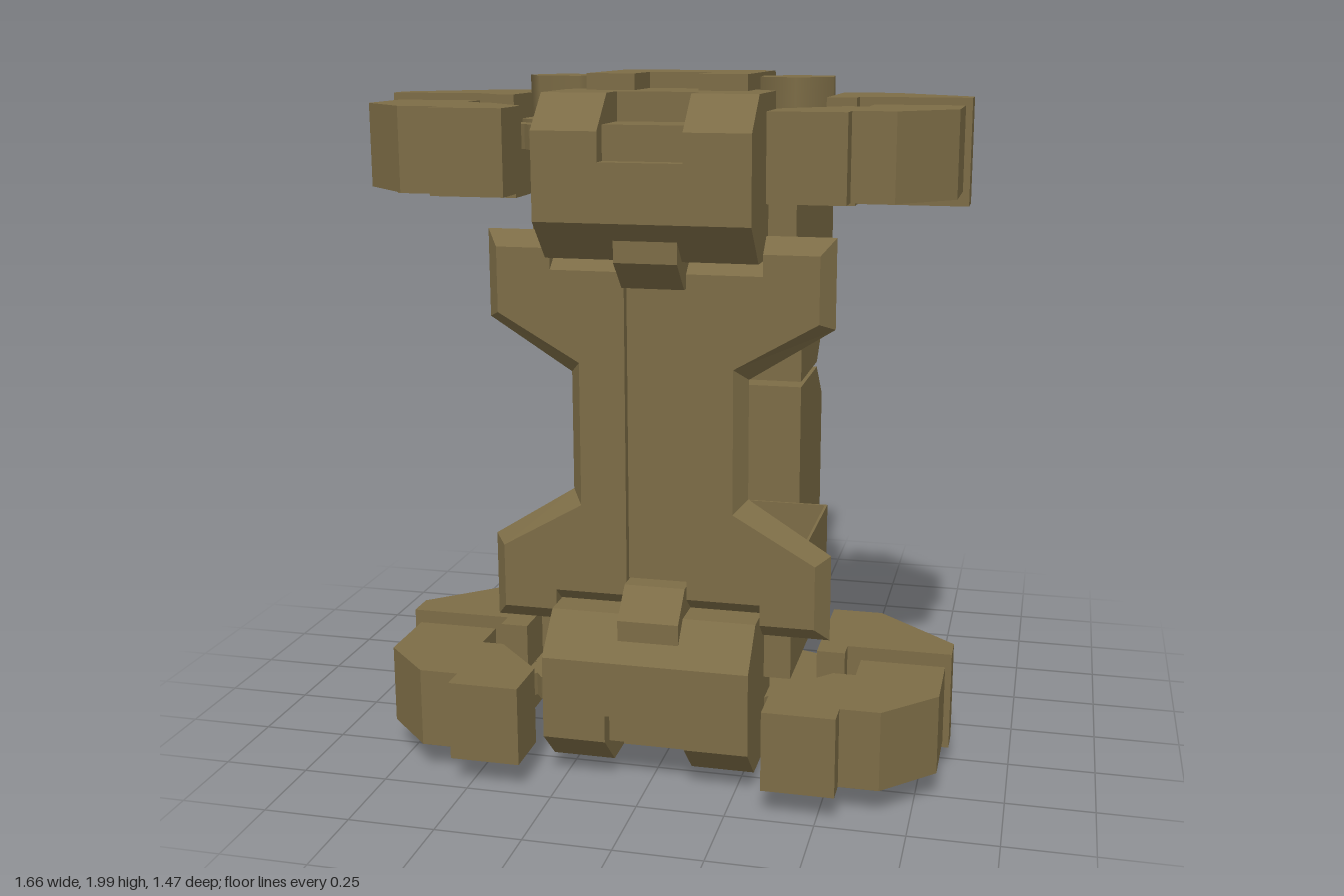
import * as THREE from 'three';

const olive = new THREE.MeshStandardMaterial({ color: 0x7c6c46, side: THREE.DoubleSide });
olive.name = 'olive drab';

const mesh = (name, geo, parent) => {
  const m = new THREE.Mesh(geo, olive);
  m.name = name;
  parent.add(m);
  return m;
};
const shapeOf = pts => new THREE.Shape(pts.map(p => new THREE.Vector2(p[0], p[1])));

// Block between two corners
function block(x0, x1, y0, y1, z0, z1) {
  return new THREE.BoxGeometry(x1 - x0, y1 - y0, z1 - z0)
    .translate((x0 + x1) / 2, (y0 + y1) / 2, (z0 + z1) / 2);
}
// Outline in [x, z], raised from y0 to y1
function plan(pts, y0, y1) {
  return new THREE.ExtrudeGeometry(shapeOf(pts.map(([x, z]) => [x, -z])), { depth: y1 - y0, bevelEnabled: false })
    .rotateX(-Math.PI / 2).translate(0, y0, 0);
}
// Outline in [z, y], widened from x0 to x1
function profile(pts, x0, x1) {
  return new THREE.ExtrudeGeometry(shapeOf(pts), { depth: x1 - x0, bevelEnabled: false })
    .rotateY(-Math.PI / 2).translate(x1, 0, 0);
}
// Flat faces between two matching rows of points
function ribbon(a, b, closed) {
  const pos = [];
  const n = a.length;
  for (let i = 0; i < (closed ? n : n - 1); i++) {
    const j = (i + 1) % n;
    pos.push(...a[i], ...a[j], ...b[j], ...a[i], ...b[j], ...b[i]);
  }
  const g = new THREE.BufferGeometry();
  g.setAttribute('position', new THREE.Float32BufferAttribute(pos, 3));
  g.computeVertexNormals();
  return g;
}

// Upper half, used again upside down for the lower half
function buildHalf(name) {
  const half = new THREE.Group();
  half.name = name;

  // Rear container, open at the back
  const side = [[-0.735, 1.72], [-0.6, 1.85], [-0.278, 1.85], [-0.278, 1.012], [-0.61, 1.012], [-0.735, 1.13]];
  const row = x => side.map(([z, y]) => [x, y, z]);
  mesh('rearBoxShell', ribbon(row(0.282), row(-0.282), false), half);
  for (const s of [-1, 1]) {
    const g = new THREE.ShapeGeometry(shapeOf(side.map(([z, y]) => [s * z, y])));
    mesh('rearBoxSide', g.rotateY(-s * Math.PI / 2).translate(-s * 0.282, 0, 0), half);
  }

  // Arm: channel open towards the middle
  const t = 0.008;
  mesh('armCover', block(-0.375, 0.375, 1.72 - t, 1.72, -0.278, 0.42), half);
  mesh('armFront', block(-0.375, 0.375, 1.4, 1.72, 0.42 - t, 0.42), half);
  mesh('armRear', block(-0.375, 0.375, 1.4, 1.72, -0.278, -0.278 + t), half);
  for (const s of [-1, 1]) {
    const x = s * (0.375 - t / 2);
    mesh('armSide', block(x - t / 2, x + t / 2, 1.4, 1.72, -0.278, 0.42), half);
  }

  // Top bracket with front and rear prongs
  mesh('bracketBar', block(-0.228, 0.228, 1.72, 2, -0.05, 0.2), half);
  for (const s of [-1, 1]) {
    const x0 = s > 0 ? 0.09 : -0.228;
    const x1 = x0 + 0.138;
    mesh('rearProng', profile([[-0.05, 1.72], [-0.05, 2], [-0.185, 1.86], [-0.185, 1.72]], x0, x1), half);
    mesh('frontProng', block(x0, x1, 1.72, 2, 0.2, 0.367), half);
  }

  // Head block with bevelled face and central notch
  mesh('headRear', plan([[-0.18, 0.2], [0.18, 0.2], [0.297, 0.32], [0.297, 0.46], [-0.297, 0.46], [-0.297, 0.32]], 1.72, 1.955), half);
  const cheek = [[0.42, 1.51], [0.555, 1.51], [0.66, 1.62], [0.66, 1.86], [0.56, 1.955], [0.42, 1.955]];
  mesh('headCheek', profile(cheek, 0.115, 0.297), half);
  mesh('headCheek', profile(cheek, -0.297, -0.115), half);
  mesh('headCentre', profile([[0.42, 1.51], [0.555, 1.51], [0.66, 1.62], [0.66, 1.78], [0.612, 1.78],
    [0.612, 1.875], [0.46, 1.875], [0.46, 1.955], [0.42, 1.955]], -0.115, 0.115), half);
  mesh('chinClip', profile([[0.46, 1.43], [0.53, 1.43], [0.612, 1.51], [0.612, 1.575], [0.46, 1.575]], -0.088, 0.088), half);

  for (const s of [-1, 1]) {
    const claw = new THREE.Group();
    claw.name = s > 0 ? 'leftClaw' : 'rightClaw';
    half.add(claw);
    const flip = pts => pts.map(([x, z]) => [s * x, z]);

    // Six-sided pivots
    const turn = s > 0 ? 0.1 : Math.PI / 6;
    mesh('pivotBase', new THREE.CylinderGeometry(0.18, 0.18, 0.08, 6).rotateY(s * 0.2).translate(s * 0.335, 1.83, 0.18), claw);
    mesh('pivotCap', new THREE.CylinderGeometry(0.117, 0.117, 0.12, 6).rotateY(turn).translate(s * 0.335, 1.93, 0.18), claw);

    // Toothed bar between head and claw
    const teeth = [[0.29, 0.3], [0.58, 0.3]];
    for (let i = 0; i <= 12; i++) teeth.push([0.565 - i * 0.0225, i % 2 ? 0.38 : 0.41]);
    mesh('toothedBar', plan(flip(teeth), 1.79, 1.86), claw);

    // Claw shoulder and hooked finger
    mesh('clawShoulder', plan(flip([[0.443, 0.01], [0.592, 0.01], [0.828, 0.22], [0.828, 0.305],
      [0.525, 0.305], [0.525, 0.363], [0.443, 0.363]]), 1.65, 1.94), claw);
    mesh('clawFinger', plan(flip([[0.565, 0.3], [0.81, 0.3], [0.81, 0.52], [0.665, 0.665], [0.552, 0.665],
      [0.552, 0.735], [0.348, 0.735], [0.348, 0.58], [0.5, 0.42], [0.565, 0.42]]), 1.69, 1.92), claw);
  }
  return half;
}

// Hourglass front panel with bevelled rim and a central groove
function buildPanel(mid) {
  const panel = new THREE.Group();
  panel.name = 'frontPanel';
  const mirrorY = pts => [...pts, ...pts.slice().reverse().map(([x, y]) => [x, 2 * mid - y])];
  const outer = mirrorY([[0.088, 1.51], [0.3, 1.51], [0.3, 1.575], [0.493, 1.575], [0.493, 1.325], [0.255, 1.175]]);
  const inner = mirrorY([[0.088, 1.47], [0.3, 1.47], [0.3, 1.53], [0.455, 1.53], [0.455, 1.345], [0.22, 1.21]]);
  for (const s of [-1, 1]) {
    const at = (pts, z) => pts.map(([x, y]) => [s * x, y, z]);
    mesh('panelRim', ribbon(at(outer, 0.46), at(inner, 0.508), true), panel);
    mesh('panelFace', new THREE.ShapeGeometry(shapeOf(at(inner, 0))).translate(0, 0, 0.508), panel);
  }
  mesh('panelGroove', block(-0.09, 0.09, 0.58, 1.43, 0.465, 0.48), panel);
  return panel;
}

export function createModel() {
  const model = new THREE.Group();
  model.name = 'clampDevice';
  const mid = 1.003;
  model.add(buildHalf('upperHalf'));
  const lower = buildHalf('lowerHalf');
  lower.rotation.z = Math.PI;
  lower.position.y = 2 * mid;
  model.add(lower, buildPanel(mid));
  return model;
}
